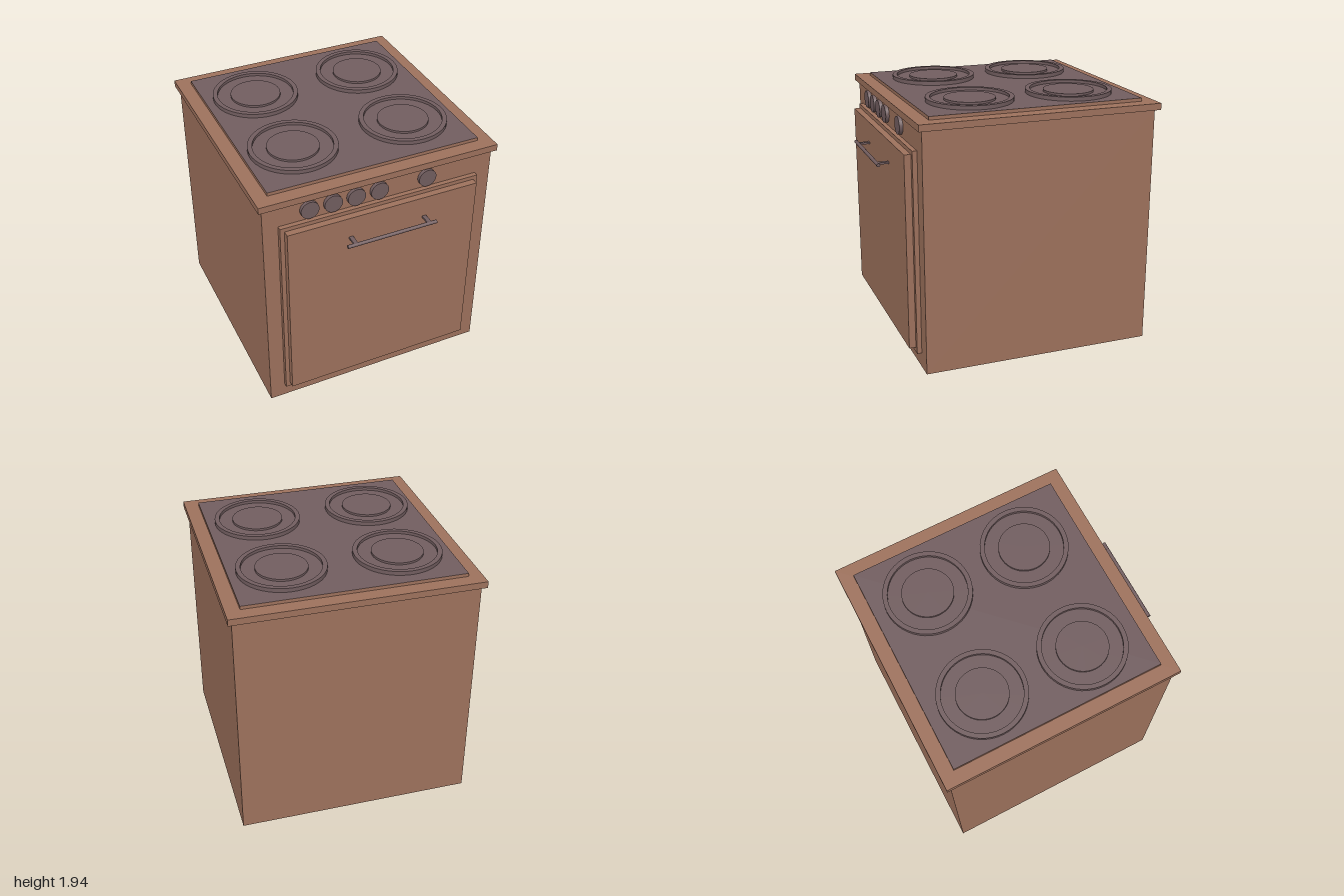
import * as THREE from 'three';
import { toCreasedNormals } from 'three/addons/utils/BufferGeometryUtils.js';

const mat = (name, color, side = THREE.FrontSide) => {
  const m = new THREE.MeshStandardMaterial({ color, side });
  m.name = name;
  return m;
};

export function createModel() {
  const group = new THREE.Group();
  const brown = mat('brown enamel', 0x9d715c);
  const metal = mat('dark metal', 0x715d5f);

  const add = (name, geometry, material, x = 0, y = 0, z = 0) => {
    const mesh = new THREE.Mesh(geometry, material);
    mesh.name = name;
    mesh.position.set(x, y, z);
    group.add(mesh);
    return mesh;
  };
  // Box given by its minimum and maximum corners
  const box = (name, material, [x0, y0, z0], [x1, y1, z1]) =>
    add(name, new THREE.BoxGeometry(x1 - x0, y1 - y0, z1 - z0), material,
      (x0 + x1) / 2, (y0 + y1) / 2, (z0 + z1) / 2);

  // Cabinet with a dark underside, overhanging worktop, dark-topped hob
  box('body', [brown, brown, brown, metal, brown, brown], [-0.89, 0, -0.965], [0.89, 1.83, 0.81]);
  box('worktop', brown, [-0.92, 1.83, -1], [0.92, 1.88, 0.84]);
  box('hob', [brown, brown, metal, brown, brown, brown], [-0.815, 1.88, -0.895], [0.815, 1.905, 0.735]);

  // Brown patch on the underside, at the back left corner
  const patch = new THREE.Shape();
  patch.moveTo(0.89, -0.965);
  patch.lineTo(0.89, -0.55);
  patch.splineThru([[0.69, -0.62], [0.44, -0.65], [0.28, -0.58], [0.12, -0.64], [0.03, -0.78], [0, -0.965]]
    .map(([x, z]) => new THREE.Vector2(x, z)));
  patch.closePath();
  add('undersidePatch', new THREE.ShapeGeometry(patch).rotateX(Math.PI / 2), brown, 0, -0.002, 0);

  // Burners: raised rim, recessed groove, central plate
  const profile = [[0.325, 0], [0.325, 0.03], [0.29, 0.03], [0.29, 0.008], [0.19, 0.008], [0.19, 0.024], [0, 0.024]]
    .map(([r, y]) => new THREE.Vector2(r, y));
  const burner = toCreasedNormals(new THREE.LatheGeometry(profile, 48), 0.6);
  for (const [x, z] of [[-0.43, -0.48], [0.43, -0.48], [-0.447, 0.305], [0.43, 0.305]]) {
    add('burner', burner, metal, x, 1.905, z);
  }

  // Control knobs
  const knob = new THREE.CylinderGeometry(0.068, 0.068, 0.03, 32).rotateX(Math.PI / 2);
  for (const x of [-0.546, -0.37, -0.194, -0.016, 0.361]) add('knob', knob, metal, x, 1.745, 0.822);

  // Oven door in two steps
  box('doorFrame', brown, [-0.775, 0.115, 0.8], [0.77, 1.66, 0.845]);
  box('doorPanel', brown, [-0.743, 0.153, 0.84], [0.738, 1.63, 0.895]);

  // Door handle: bar on two flat posts
  const bar = new THREE.CylinderGeometry(0.0135, 0.0135, 0.7, 20).rotateZ(Math.PI / 2);
  add('handleBar', bar, metal, 0.018, 1.462, 0.985);
  for (const x of [-0.265, 0.315]) {
    box('handlePost', metal, [x - 0.016, 1.455, 0.89], [x + 0.016, 1.469, 0.985]);
  }

  return group;
}
